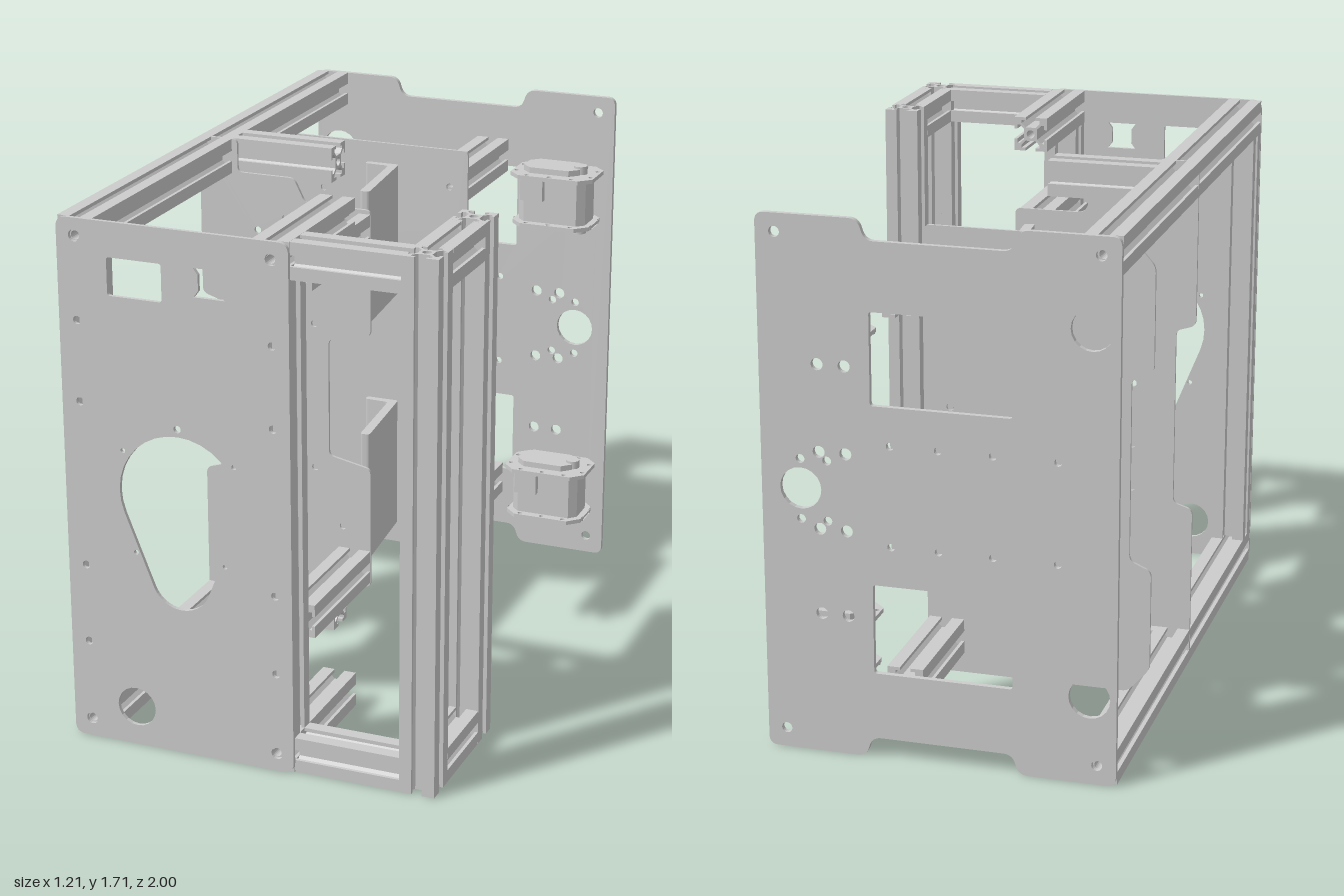
import * as THREE from 'three';

const H = 1.71, R = 0.0575; // overall height, half width of a rail
const mat = new THREE.MeshStandardMaterial({ color: 0xcccccc, side: THREE.DoubleSide });

// Closed outline with rounded corners
function outline(pts, r = 0, Type = THREE.Shape) {
  const s = new Type();
  if (!r) return s.setFromPoints(pts.map(p => new THREE.Vector2(...p)));
  const v = pts.map(p => new THREE.Vector2(...p));
  v.forEach((p, i) => {
    const a = v[(i + v.length - 1) % v.length], b = v[(i + 1) % v.length];
    const toward = q => p.clone().add(q.clone().sub(p).setLength(Math.min(r, q.distanceTo(p) * 0.45)));
    const s0 = toward(a), s1 = toward(b);
    if (i) s.lineTo(s0.x, s0.y); else s.moveTo(s0.x, s0.y);
    s.quadraticCurveTo(p.x, p.y, s1.x, s1.y);
  });
  s.closePath();
  return s;
}
const rect = (x0, x1, y0, y1) => [[x0, y0], [x1, y0], [x1, y1], [x0, y1]];
const rectHole = (...a) => outline(rect(...a), 0.01, THREE.Path);
const hole = (x, y, r) => new THREE.Path().absarc(x, y, r, 0, Math.PI * 2, true);

function extrude(shape, depth, holes = []) {
  shape.holes.push(...holes);
  return new THREE.ExtrudeGeometry(shape, { depth, bevelEnabled: false, curveSegments: 10 });
}
function add(group, name, geo, x = 0, y = 0, z = 0) {
  const m = new THREE.Mesh(geo, mat);
  m.name = name;
  m.position.set(x, y, z);
  group.add(m);
  return m;
}

// Slotted rail section: one side repeated four times round the core
function railSection() {
  const side = [[10, -10], [10, -3], [8.2, -3], [8.2, -5.5], [6.5, -5.5], [4, -3],
    [4, 3], [6.5, 5.5], [8.2, 5.5], [8.2, 3], [10, 3]];
  const k = R / 10, pts = [];
  for (let i = 0; i < 4; i++) {
    const c = [1, 0, -1, 0][i], s = [0, 1, 0, -1][i];
    for (const [x, y] of side) pts.push([(x * c - y * s) * k, (x * s + y * c) * k]);
  }
  return outline(pts);
}
// Rail along an axis from a to b; the other two coordinates are its centre line
function rail(group, name, axis, a, b, p) {
  const geo = extrude(railSection(), b - a, [hole(0, 0, 0.014)]);
  geo.translate(0, 0, -(b - a) / 2);
  const mid = (a + b) / 2;
  if (axis === 'x') add(group, name, geo.rotateY(Math.PI / 2), mid, p[0], p[1]);
  if (axis === 'y') add(group, name, geo.rotateX(-Math.PI / 2), p[0], mid, p[1]);
  if (axis === 'z') add(group, name, geo, p[0], p[1], mid);
}

function frontPlate(group) {
  const bulb = new THREE.Path();
  const t = Math.asin(0.1 / 0.27);
  bulb.absarc(-0.22, 0.86, 0.2, -t, Math.PI + t, false);
  bulb.absarc(-0.22, 0.59, 0.1, Math.PI + t, 2 * Math.PI - t, false);
  bulb.closePath();
  const holes = [bulb, hole(-0.385, 0.13, 0.065), rectHole(-0.44, -0.26, 1.48, 1.6),
    outline([[-0.155, 1.51], [-0.055, 1.51], [-0.07, 1.53], [-0.07, 1.58], [-0.055, 1.6],
      [-0.155, 1.6], [-0.14, 1.58], [-0.14, 1.53]], 0, THREE.Path)];
  for (const x of [-0.545, 0.095]) {
    for (const y of [0.06, 1.655]) holes.push(hole(x, y, 0.019));
    for (const y of [0.33, 0.59, 1.13, 1.39]) holes.push(hole(x, y, 0.013));
  }
  holes.push(hole(-0.22, 1.085, 0.012));
  for (const s of [-1, 1]) {
    holes.push(hole(-0.22 + s * 0.185, 0.99, 0.008));
    holes.push(hole(-0.22 + s * 0.15, 0.66, 0.008));
  }
  add(group, 'frontPlate', extrude(outline(rect(-0.605, 0.15, 0, H), 0.035), 0.013, holes), 0, 0, 0.987);
}

function backPlate(group) {
  const n = 0.065; // notch depth, top and bottom
  const pts = [[-0.605, 0], [-0.3, 0], [-0.28, n], [0.17, n], [0.19, 0], [0.51, 0],
    [0.51, H], [0.19, H], [0.17, H - n], [-0.28, H - n], [-0.3, H], [-0.605, H]];
  const holes = [rectHole(-0.28, 0.16, 1.14, 1.43), rectHole(-0.28, 0.16, 0.28, 0.57),
    hole(0.385, 0.86, 0.066), hole(-0.52, 1.43, 0.065), hole(-0.52, 0.28, 0.065)];
  for (const s of [-1, 1]) {
    for (const x of [0.24, 0.325]) for (const d of [0.123, 0.398]) holes.push(hole(x, 0.858 + s * d, 0.019));
    for (const x of [0.3, 0.385]) holes.push(hole(x, 0.858 + s * 0.096, 0.014));
    for (const x of [-0.42, -0.22, -0.05, 0.1]) holes.push(hole(x, 0.858 + s * 0.16, 0.012));
    for (const x of [-0.545, 0.45]) holes.push(hole(x, 0.858 + s * 0.795, 0.017));
  }
  add(group, 'backPlate', extrude(outline(pts, 0.03), 0.018, holes), 0, 0, -1);
}

// Inner plates are symmetrical about mid height: lower half mirrored to the upper
function innerPlate(group, name, lower, z, screws) {
  const upper = lower.slice().reverse().map(([x, y]) => [x, H - y]);
  const holes = [];
  for (const [x, y] of screws) holes.push(hole(x, y, 0.012), hole(x, H - y, 0.012));
  add(group, name, extrude(outline([...lower, ...upper], 0.02), 0.01, holes), 0, 0, z);
}

// Small motor with octagonal mounting plates, facing down
function motor(group, name, y) {
  const g = new THREE.Group();
  g.name = name;
  g.position.set(0.36, y, -0.817);
  const slab = (w, d, c, h, holes) => extrude(outline([[-w + c, -d], [w - c, -d], [w, -d + c], [w, d - c],
    [w - c, d], [-w + c, d], [-w, d - c], [-w, -d + c]]), h, holes).rotateX(-Math.PI / 2);
  const screws = () => {
    const list = [];
    for (const s of [-1, 1]) {
      for (const x of [-0.08, 0, 0.08]) list.push(hole(x, s * 0.088, 0.008));
      for (const z of [-0.04, 0.04]) list.push(hole(s * 0.134, z, 0.008));
    }
    return list;
  };
  add(g, 'topFlange', slab(0.148, 0.102, 0.04, 0.014, screws()), 0, 0.2, 0);
  add(g, 'bottomFlange', slab(0.138, 0.102, 0.04, 0.014, screws()), 0, 0.03, 0);
  add(g, 'motorBody', slab(0.12, 0.072, 0.025, 0.17), 0, 0.04, 0);
  add(g, 'motorCap', slab(0.1, 0.06, 0.03, 0.022), -0.01, 0.212, 0);
  add(g, 'shaftBoss', new THREE.CylinderGeometry(0.024, 0.024, 0.24, 16), 0.085, 0.122, 0);
  for (const s of [-1, 1])
    add(g, 'sideLug', new THREE.BoxGeometry(0.08, 0.08, 0.035), -0.06, 0.165, s * 0.08);
  group.add(g);
}

export function createModel() {
  const g = new THREE.Group();
  g.name = 'machineFrame';
  frontPlate(g);
  backPlate(g);
  innerPlate(g, 'middlePlate', [[-0.15, 0.65], [-0.605, 0.65], [-0.54, 0.64], [-0.54, 0.56], [-0.605, 0.54],
    [-0.605, 0], [-0.47, 0], [-0.47, 0.11], [-0.27, 0.11], [-0.23, 0.19], [0, 0.19], [0, 0.62], [-0.15, 0.65]]
    .filter((p, i) => i !== 0 && i !== 1 && i !== 2), -0.005,
  [[-0.4, 0.6], [-0.2, 0.6], [-0.4, 0.3], [-0.1, 0.4], [-0.3, 0.25], [-0.4, 0.75]]);
  innerPlate(g, 'rearInnerPlate', [[-0.53, 0.56], [-0.6, 0.53], [-0.6, 0.2], [-0.53, 0.12], [0.13, 0.12]],
    -0.56, [[0.065, 0.25], [0.065, 0.4], [-0.2, 0.3], [-0.4, 0.3], [-0.2, 0.6], [-0.4, 0.6], [0.05, 0.7]]);

  // Rails that repeat at the top and the bottom
  for (const y of [R, H - R]) {
    rail(g, 'longSideRail', 'z', -0.982, 0.987, [-0.547, y]);
    rail(g, 'frontDepthRail', 'z', 0.49, 0.987, [0.09, y]);
    rail(g, 'frontCrossRail', 'x', 0.148, 0.493, [y, 0.926]);
    rail(g, 'postLinkRail', 'z', 0.598, 0.868, [0.55, y]);
    rail(g, 'middleCrossRail', 'x', -0.49, -0.14, [y, -0.063]);
  }
  // Short carrier rails
  for (const s of [-1, 1]) {
    rail(g, 'middleCarrierRail', 'z', 0.005, 0.48, [-0.058, H / 2 + 0.002 + s * 0.592]);
    rail(g, 'rearCarrierRail', 'z', -0.982, -0.56, [0.066, H / 2 + 0.002 + s * 0.613]);
  }
  // Posts
  for (const z of [0.926, 0.54]) rail(g, 'cornerPost', 'y', 0, H, [0.55, z]);
  for (const x of [-0.547, 0.09]) rail(g, 'frontPlatePost', 'y', 2 * R, H - 2 * R, [x, 0.926]);

  // Folded paddles and motors, upper and lower
  const fold = [[-0.235, 0.548], [-0.12, 0.548], [-0.087, 0.2], [-0.12, 0.195], [-0.148, 0.52], [-0.235, 0.523]];
  for (const [y, label] of [[0.2, 'lower'], [1.06, 'upper']]) {
    const geo = extrude(outline(fold, 0.012), 0.46).rotateX(-Math.PI / 2);
    add(g, label + 'Paddle', geo, 0, y, 0);
  }
  motor(g, 'lowerMotor', 0.18);
  motor(g, 'upperMotor', 1.265);
  return g;
}
